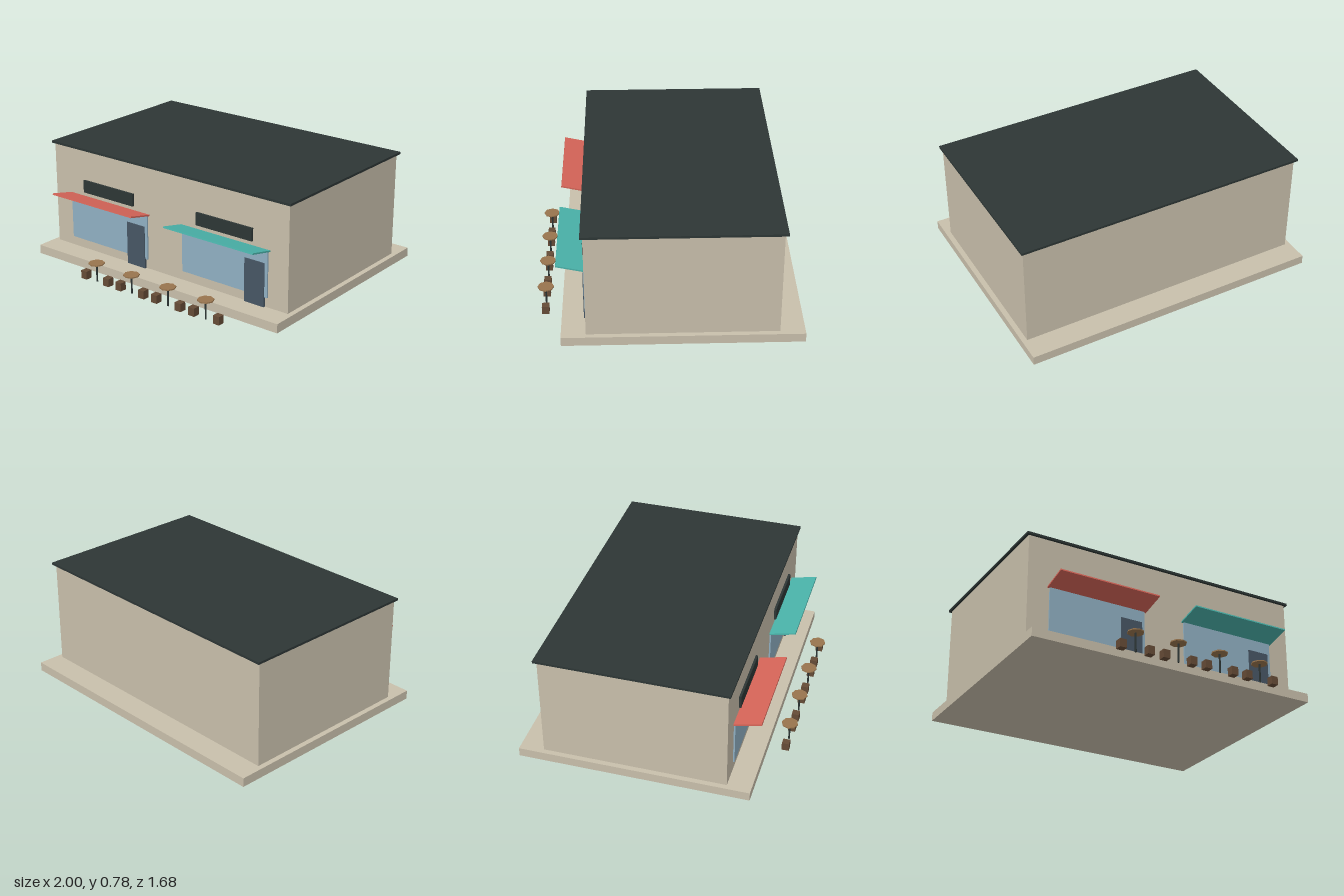
import * as THREE from 'three';

const mat = (name, color) => new THREE.MeshStandardMaterial({ name, color });

export function createModel() {
  const plaster = mat('plaster', 0xc8bfab);
  const charcoal = mat('charcoal', 0x2d3635);
  const glass = mat('glass', 0x8fafc2);
  const slate = mat('door slate', 0x475664);
  const red = mat('awning red', 0xd66558);
  const teal = mat('awning teal', 0x4ab3aa);
  const wood = mat('table wood', 0x98744d);
  const darkWood = mat('stool wood', 0x654b36);

  const model = new THREE.Group();
  model.name = 'shopBuilding';

  const add = (parent, name, geometry, material, x, y, z) => {
    const mesh = new THREE.Mesh(geometry, material);
    mesh.name = name;
    mesh.position.set(x, y, z);
    parent.add(mesh);
    return mesh;
  };
  // Box given by its x centre and width, and its y and z ranges
  const box = (parent, name, material, x, w, y0, y1, z0, z1) =>
    add(parent, name, new THREE.BoxGeometry(w, y1 - y0, z1 - z0), material,
      x, (y0 + y1) / 2, (z0 + z1) / 2);

  // Main building
  box(model, 'plinth', plaster, 0, 2, 0, 0.06, -0.84, 0.678);
  box(model, 'walls', plaster, 0, 1.932, 0.06, 0.763, -0.682, 0.523);
  box(model, 'roof', charcoal, 0, 1.964, 0.763, 0.778, -0.704, 0.539);

  // Two shop fronts with window, door, sign board and tilted awning
  [['left', 0.481, teal], ['right', -0.483, red]].forEach(([side, x, colour]) => {
    const shop = new THREE.Group();
    shop.name = `${side}Shop`;
    shop.position.x = x;
    model.add(shop);
    box(shop, 'window', glass, 0, 0.67, 0.125, 0.438, 0.522, 0.533);
    box(shop, 'door', slate, 0.239, 0.15, 0.06, 0.352, 0.522, 0.538);
    box(shop, 'signBoard', charcoal, 0, 0.437, 0.47, 0.555, 0.522, 0.538);
    const awning = add(shop, 'awning', new THREE.BoxGeometry(0.696, 0.01, 0.182),
      colour, 0, 0.455, 0.611);
    awning.rotation.x = -0.22;
  });

  // Pavement tables, each with a pair of block stools
  const topGeo = new THREE.CylinderGeometry(0.053, 0.053, 0.008, 8).toNonIndexed();
  topGeo.computeVertexNormals();
  const poleGeo = new THREE.CylinderGeometry(0.006, 0.006, 0.125, 6);
  const stoolGeo = new THREE.BoxGeometry(0.047, 0.055, 0.047);
  for (let i = 0; i < 4; i++) {
    const set = new THREE.Group();
    set.name = `tableSet${i + 1}`;
    set.position.set(-0.364 + i * 0.302, 0, 0.787);
    model.add(set);
    add(set, 'tableTop', topGeo, wood, 0, 0.129, 0);
    add(set, 'tablePole', poleGeo, charcoal, 0, 0.0625, 0);
    for (const s of [-1, 1]) add(set, 'stool', stoolGeo, darkWood, s * 0.097, 0.0275, 0);
  }
  return model;
}
